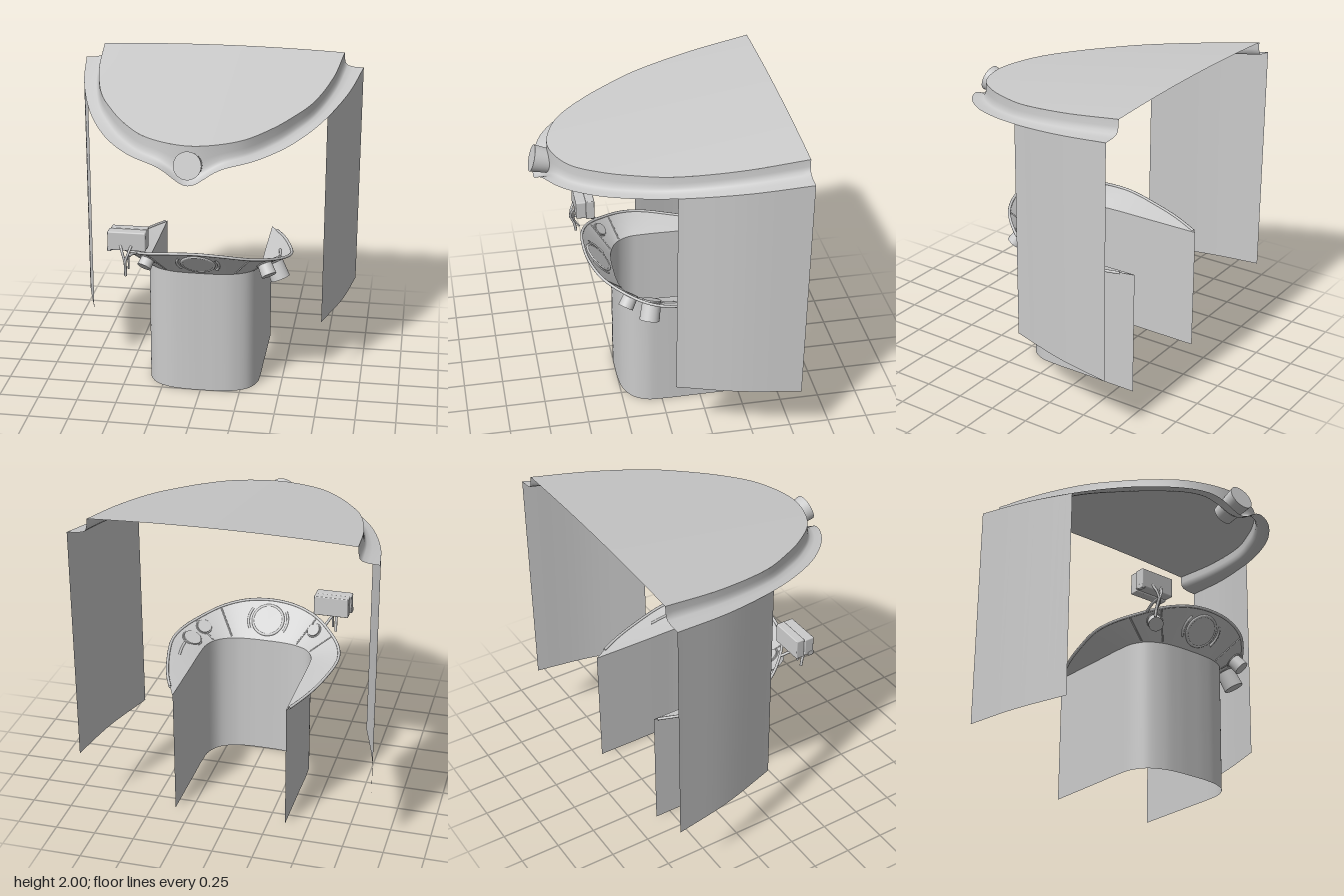
import * as THREE from 'three';
import { ParametricGeometry } from 'three/addons/geometries/ParametricGeometry.js';
import { RoundedBoxGeometry } from 'three/addons/geometries/RoundedBoxGeometry.js';

const V = (x, y, z) => new THREE.Vector3(x, y, z);
const grey = new THREE.MeshStandardMaterial({ color: 0xcccccc, side: THREE.DoubleSide });

function mesh(name, geometry, parent) {
  const m = new THREE.Mesh(geometry, grey);
  m.name = name;
  parent.add(m);
  return m;
}

// surface from a rule p(u, v), smooth shaded
function surface(name, rule, nu, nv, parent) {
  const g = new ParametricGeometry((u, v, target) => target.copy(rule(u, v)), nu, nv);
  g.computeVertexNormals();
  return mesh(name, g, parent);
}

// curve through a half outline (front centre to back) and its mirror image
function mirrored(half) {
  const right = half.map((p) => V(...p));
  const left = right.slice(1).reverse().map((p) => V(-p.x, p.y, p.z));
  return new THREE.CatmullRomCurve3([...left, ...right]);
}

function tube(name, points, radius, parent) {
  const curve = new THREE.CatmullRomCurve3(points);
  return mesh(name, new THREE.TubeGeometry(curve, points.length * 4, radius, 8), parent);
}

// heights of the sloping canopy top and of its brim edge
const topY = (x, z) => 2 - 0.164 * (z + 0.76) - 0.02 * (x / 0.79) ** 2;
const brimY = (z) => 1.885 - 0.152 * (z + 0.76);

function canopy(root) {
  const group = new THREE.Group();
  group.name = 'canopy';
  root.add(group);
  const crease = mirrored([[0, 0, 0.64], [0.15, 0, 0.61], [0.3, 0, 0.53], [0.45, 0, 0.36],
    [0.55, 0, 0.2], [0.65, 0, 0], [0.745, 0, -0.37], [0.79, 0, -0.76]]);
  const edge = mirrored([[0, 0, 0.73], [0.15, 0, 0.705], [0.33, 0, 0.62], [0.5, 0, 0.45],
    [0.62, 0, 0.26], [0.735, 0, 0], [0.85, 0, -0.39], [0.915, 0, -0.76]]);

  surface('canopyTop', (u, v) => {
    const p = crease.getPoint(0.5 + u / 2);
    const x = p.x * (1 - 2 * v);
    return V(x, topY(x, p.z), p.z);
  }, 48, 16, group);

  // brim drops steeply, then flares out; it dips into a lobe under the lamp
  const out = [0, 0.02, 0.07, 0.2, 0.5, 1];
  const drop = [0, 0.45, 0.72, 0.88, 0.97, 1];
  surface('canopyBrim', (u, v) => {
    const i = Math.round(v * 5);
    const a = crease.getPoint(u), b = edge.getPoint(u);
    const p = a.clone().lerp(b, out[i]);
    const lobe = 0.1 * Math.exp(-((b.x / 0.13) ** 2));
    p.y = THREE.MathUtils.lerp(topY(a.x, a.z), brimY(b.z) - lobe, drop[i]);
    return p;
  }, 112, 5, group);

  // lamp through the front lobe
  const lamp = mesh('canopyLamp', new THREE.CylinderGeometry(0.082, 0.066, 0.18, 32), group);
  lamp.position.set(0, 1.657, 0.648);
  lamp.rotation.x = 1.277;
}

function sidePanels(root) {
  const path = new THREE.CatmullRomCurve3([V(0.74, 0, -0.015), V(0.85, 0, -0.39), V(0.915, 0, -0.76)]);
  for (const s of [-1, 1]) {
    surface(s > 0 ? 'leftPanel' : 'rightPanel', (u, v) => {
      const p = path.getPoint(u);
      return V(s * p.x, THREE.MathUtils.lerp(0.405, brimY(p.z), v), p.z);
    }, 16, 1, root);
  }
}

function plinthAndConsole(root) {
  const inner = mirrored([[0, 0.81, 0.252], [0.1, 0.81, 0.25], [0.2, 0.81, 0.235], [0.295, 0.81, 0.185],
    [0.345, 0.81, 0.1], [0.355, 0.81, 0], [0.355, 0.81, -0.2], [0.355, 0.81, -0.4], [0.355, 0.81, -0.6]]);
  const outer = mirrored([[0, 1.015, 0.44], [0.16, 1.003, 0.425], [0.31, 0.97, 0.365], [0.43, 0.93, 0.25],
    [0.51, 0.9, 0.13], [0.542, 0.877, 0], [0.51, 0.85, -0.2], [0.45, 0.83, -0.4], [0.358, 0.81, -0.6]]);
  const at = (t, s) => inner.getPoint(t).lerp(outer.getPoint(t), s);
  // t for the i-th outline point, negative i on the -x side
  const T = (i) => 0.5 + i / 16;

  surface('plinth', (u, v) => inner.getPoint(u).setY(0.81 * v), 96, 1, root);

  const group = new THREE.Group();
  group.name = 'console';
  root.add(group);
  surface('consoleTray', at, 96, 4, group);
  const rim = [];
  for (let i = -7.9; i <= 7.91; i += 0.5) rim.push(outer.getPoint(T(i)));
  tube('consoleRim', rim, 0.009, group);

  // dividing ribs across the tray
  for (const i of [-3.3, -2.1, 2.1, 3.3]) {
    tube('trayRib', [at(T(i), 0.05), at(T(i), 0.5), at(T(i), 0.95)], 0.005, group);
  }

  // group on the tray whose z axis points out through the underside
  const mount = (name, i, s) => {
    const t = T(i), g = new THREE.Group();
    const along = at(t + 0.002, s).sub(at(t - 0.002, s)).normalize();
    const normal = along.clone().cross(at(t, 1).sub(at(t, 0))).normalize();
    g.quaternion.setFromRotationMatrix(
      new THREE.Matrix4().makeBasis(along, normal.clone().cross(along), normal));
    g.position.copy(at(t, s));
    g.name = name;
    group.add(g);
    return g;
  };

  // central lens with curved slots on both sides
  const lens = mount('lens', 0, 0.5);
  mesh('lensBezel', new THREE.TorusGeometry(0.1, 0.009, 10, 48), lens);
  mesh('lensDisc', new THREE.CylinderGeometry(0.098, 0.098, 0.012, 48).rotateX(Math.PI / 2), lens);
  for (const side of [0, Math.PI]) {
    const slot = mesh('curvedSlot', new THREE.TorusGeometry(0.13, 0.008, 8, 16, 1.1), lens);
    slot.rotation.z = side - 0.55;
  }

  // barrels poking out below the tray: position, radius, length
  for (const [i, s, r, len] of [[-2.4, 0.66, 0.045, 0.07], [3.2, 0.62, 0.048, 0.09], [4.3, 0.5, 0.062, 0.13]]) {
    const knob = mount('barrel', i, s);
    const body = mesh('barrelBody', new THREE.CylinderGeometry(r, r * 0.92, len, 28).rotateX(Math.PI / 2), knob);
    body.position.z = len / 2 - 0.012;
    mesh('barrelRing', new THREE.TorusGeometry(r, 0.005, 8, 28), knob);
  }

  // long slot on the left wing
  tube('wingSlot', [4.9, 5.3, 5.7].map((i) => at(T(i), 0.6)), 0.008, group);
}

function cameraBox(root) {
  const group = new THREE.Group();
  group.name = 'cameraUnit';
  root.add(group);
  const front = mesh('boxFront', new RoundedBoxGeometry(0.235, 0.12, 0.066, 3, 0.008), group);
  front.position.set(-0.424, 1.072, 0.407);
  const back = mesh('boxBack', new RoundedBoxGeometry(0.225, 0.13, 0.056, 3, 0.006), group);
  back.position.set(-0.42, 1.068, 0.348);
  const clip = mesh('boxClip', new RoundedBoxGeometry(0.025, 0.03, 0.04, 2, 0.005), group);
  clip.position.set(-0.532, 1.018, 0.42);

  // forked bracket, hanging strap and link to the console rim
  for (const x of [-0.462, -0.395]) {
    tube('bracketFork', [V(x, 1.045, 0.435), V(x * 0.5 - 0.214, 1, 0.458), V(-0.43, 0.95, 0.465)], 0.008, group);
  }
  tube('bracketStem', [V(-0.43, 0.96, 0.465), V(-0.432, 0.9, 0.44), V(-0.434, 0.845, 0.43)], 0.009, group);
  tube('bracketCord', [V(-0.415, 1.02, 0.44), V(-0.41, 0.95, 0.445), V(-0.418, 0.885, 0.41)], 0.006, group);
  tube('bracketLink', [V(-0.43, 0.96, 0.46), V(-0.41, 0.965, 0.38), V(-0.39, 0.945, 0.3)], 0.009, group);
}

export function createModel() {
  const root = new THREE.Group();
  root.name = 'canopiedConsole';
  canopy(root);
  sidePanels(root);
  plinthAndConsole(root);
  cameraBox(root);
  return root;
}
